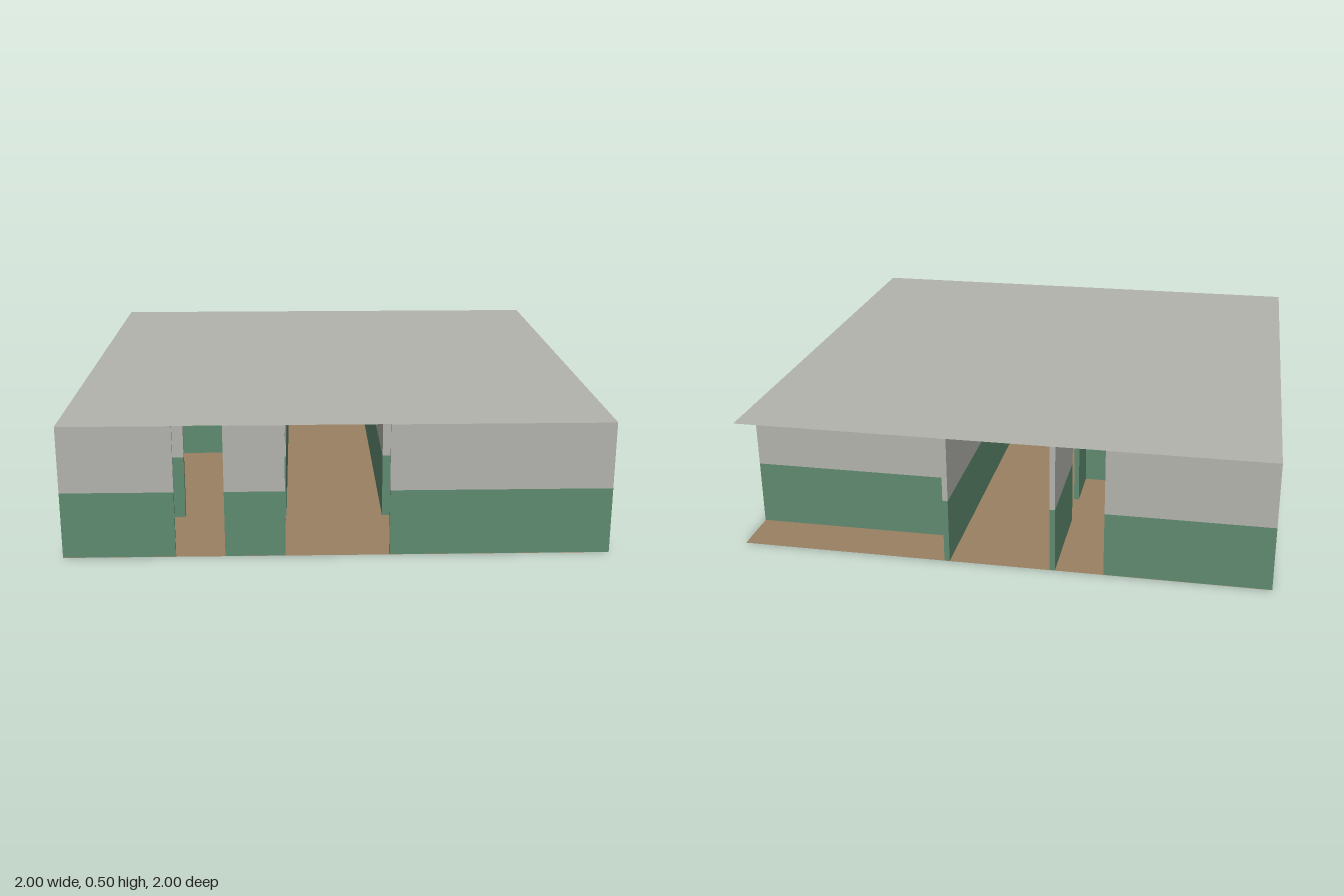
import * as THREE from 'three';

const HEIGHT = 0.5, DADO = 0.25, HALF = 0.01, GAP = 0.001;

const green = new THREE.MeshStandardMaterial({ color: 0x5f8a6f });
green.name = 'green dado paint';
const grey = new THREE.MeshStandardMaterial({ color: 0xb2b3ad });
grey.name = 'grey plaster';
const brown = new THREE.MeshStandardMaterial({ color: 0x9b8162, side: THREE.DoubleSide });
brown.name = 'brown floor';
const roofGrey = new THREE.MeshStandardMaterial({ color: 0xb2b3ad, side: THREE.DoubleSide });
roofGrey.name = 'grey roof';

const clip = (v) => Math.max(-1, Math.min(1, v));

// One wall piece between two plan points, green below and grey above, kept inside the floor edge
function wall(name, xa, za, xb, zb) {
  const x0 = clip(xa - HALF), x1 = clip(xb + HALF);
  const z0 = clip(za - HALF), z1 = clip(zb + HALF);
  const group = new THREE.Group();
  group.name = name;
  const bands = [['lowerBand', GAP, DADO, green], ['upperBand', DADO, HEIGHT - GAP, grey]];
  for (const [part, y0, y1, material] of bands) {
    const mesh = new THREE.Mesh(new THREE.BoxGeometry(x1 - x0, y1 - y0, z1 - z0), material);
    mesh.name = part;
    mesh.position.set((x0 + x1) / 2, (y0 + y1) / 2, (z0 + z1) / 2);
    group.add(mesh);
  }
  return group;
}

// Square sheet for floor and roof
function sheet(name, y, material) {
  const mesh = new THREE.Mesh(new THREE.PlaneGeometry(2, 2), material);
  mesh.name = name;
  mesh.rotation.x = -Math.PI / 2;
  mesh.position.y = y;
  return mesh;
}

export function createModel() {
  const model = new THREE.Group();
  model.name = 'building';
  model.add(sheet('floor', 0, brown), sheet('roof', HEIGHT, roofGrey));

  // Walls running across (along x): name, z, then start and end of each piece; gaps are doorways
  const across = [
    ['frontWall', 1, [[-1, -0.6], [-0.4, -0.2], [0.2, 1]]],
    ['hallWall', 0.6, [[-1, -0.6], [-0.4, -0.2], [0.2, 0.8], [1, 1]]],
    ['roomDivider', -0.2, [[-1, -0.2], [0.2, 0.6], [0.8, 1]]],
    ['porchWall', -0.8, [[0.2, 1]]],
    ['backWall', -1, [[-1, -0.4]]],
  ];
  for (const [name, z, pieces] of across)
    for (const [a, b] of pieces) model.add(wall(name, a, z, b, z));

  // Walls running front to back (along z): name, x, pieces
  const along = [
    ['outerSideWall', -1, [[-1, 1]]],
    ['corridorRightWall', -0.2, [[-1, -0.6], [-0.4, 0.6]]],
    ['corridorLeftWall', 0.2, [[-1, 0.6]]],
  ];
  for (const [name, x, pieces] of along)
    for (const [a, b] of pieces) model.add(wall(name, x, a, x, b));

  return model;
}
